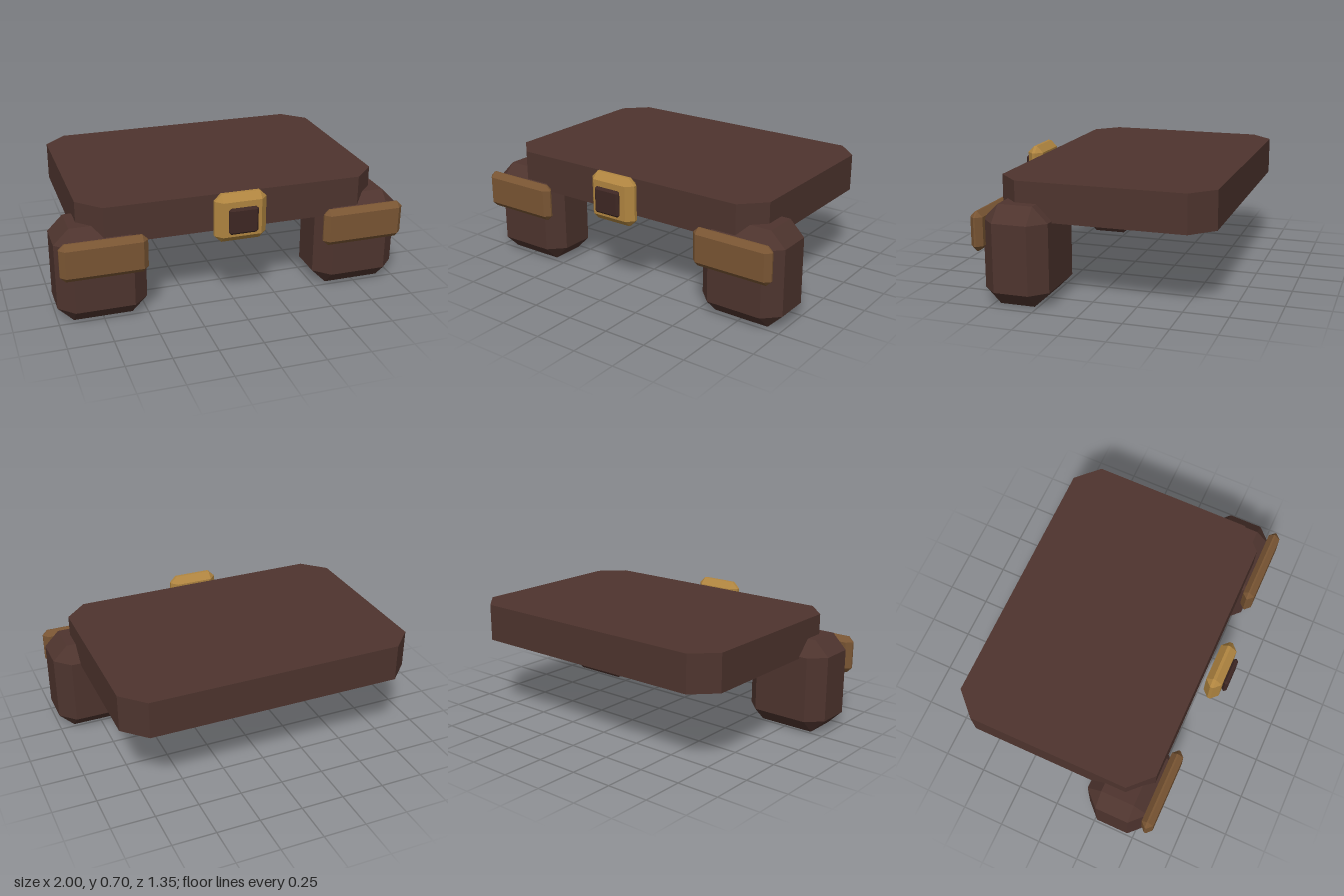
import * as THREE from 'three';
import { ConvexGeometry } from 'three/addons/geometries/ConvexGeometry.js';

const material = (name, color) => {
  const m = new THREE.MeshStandardMaterial({ color, flatShading: true });
  m.name = name;
  return m;
};

// Box with every edge chamfered by b, given by its centre and size
function chamferedBox(name, mat, [x, y, z], [w, h, d], b) {
  const points = [];
  for (const sx of [-1, 1]) for (const sy of [-1, 1]) for (const sz of [-1, 1]) {
    for (let axis = 0; axis < 3; axis++) {
      points.push(new THREE.Vector3(
        sx * (w / 2 - (axis === 0 ? 0 : b)),
        sy * (h / 2 - (axis === 1 ? 0 : b)),
        sz * (d / 2 - (axis === 2 ? 0 : b))));
    }
  }
  const mesh = new THREE.Mesh(new ConvexGeometry(points), mat);
  mesh.name = name;
  mesh.position.set(x, y, z);
  return mesh;
}

export function createModel() {
  const leather = material('dark leather', 0x4e342e);
  const flapLeather = material('tan leather', 0x795533);
  const brass = material('brass', 0xb08540);
  const inset = material('deep brown', 0x3e2723);
  const group = new THREE.Group();
  group.name = 'beltWithPouches';

  // Belt: slab with cut corners
  const w = 0.862, front = 0.52, back = -0.675, c = 0.127;
  const outline = new THREE.Shape([
    [-w + c, back], [w - c, back], [w, back + c], [w, front - c],
    [w - c, front], [-w + c, front], [-w, front - c], [-w, back + c],
  ].map(([x, z]) => new THREE.Vector2(x, z)));
  const beltGeometry = new THREE.ExtrudeGeometry(outline, { depth: 0.215, bevelEnabled: false });
  beltGeometry.rotateX(Math.PI / 2);
  const belt = new THREE.Mesh(beltGeometry, leather);
  belt.name = 'belt';
  belt.position.set(-0.002, 0.67, 0);
  group.add(belt);

  // Pouches with front flaps
  for (const [side, s] of [['left', 1], ['right', -1]]) {
    group.add(chamferedBox(side + 'Pouch', leather, [s * 0.749, 0.276, 0.368], [0.502, 0.552, 0.368], 0.086));
    group.add(chamferedBox(side + 'Flap', flapLeather, [s * 0.749 - 0.001, 0.405, 0.57], [0.48, 0.218, 0.07], 0.03));
  }

  // Buckle and its inset
  group.add(chamferedBox('buckle', brass, [-0.003, 0.564, 0.598], [0.294, 0.278, 0.094], 0.038));
  group.add(chamferedBox('buckleInset', inset, [-0.003, 0.561, 0.66], [0.166, 0.15, 0.03], 0.012));
  return group;
}
